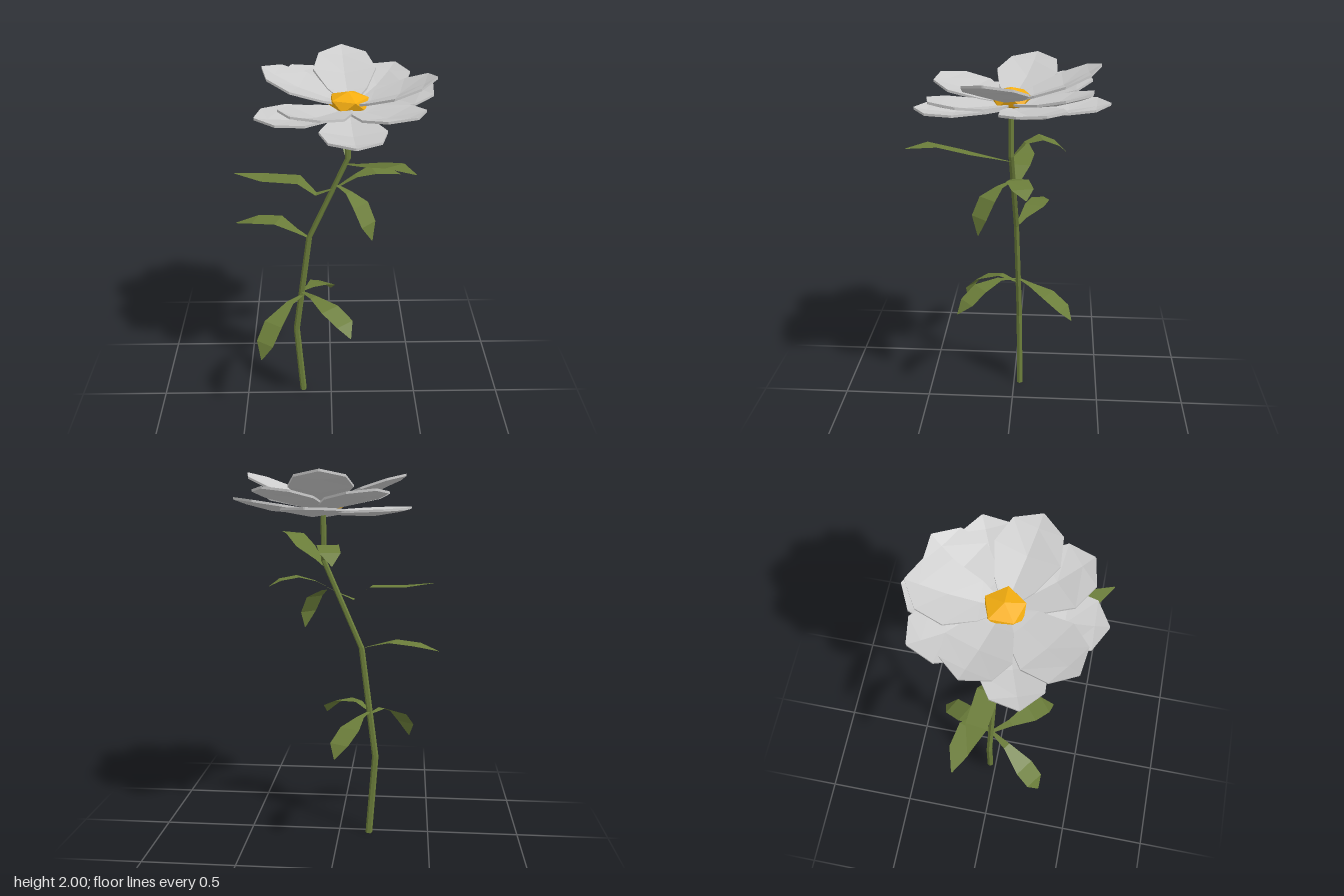
import * as THREE from 'three';

const V = (x, y, z) => new THREE.Vector3(x, y, z);
const UP = V(0, 1, 0);
const mat = (color, extra = {}) =>
  new THREE.MeshStandardMaterial({ color, flatShading: true, ...extra });

// Skin between cross-sections of equal point count; closed ones get end caps
function loft(rings, closed) {
  const pos = [];
  const tri = (...p) => p.forEach((v) => pos.push(v.x, v.y, v.z));
  const n = rings[0].length;
  for (let i = 0; i < rings.length - 1; i++) {
    for (let j = 0; j < (closed ? n : n - 1); j++) {
      const k = (j + 1) % n;
      const a = rings[i][j], b = rings[i][k], c = rings[i + 1][k], e = rings[i + 1][j];
      tri(a, e, c);
      tri(a, c, b);
    }
  }
  if (closed) {
    const first = rings[0], last = rings[rings.length - 1];
    for (let j = 1; j < n - 1; j++) {
      tri(first[0], first[j], first[j + 1]);
      tri(last[0], last[j + 1], last[j]);
    }
  }
  const g = new THREE.BufferGeometry();
  g.setAttribute('position', new THREE.Float32BufferAttribute(pos, 3));
  g.computeVertexNormals();
  return g;
}

// Thin cupped petal from the flower centre to a pointed tip
function petalGeometry(cx, baseY, tip) {
  const base = V(cx, baseY, 0);
  const d = V(tip.x - cx, 0, tip.z).normalize();
  const side = UP.clone().cross(d);
  const rows = [ // share of length, half width, dip of the middle
    [0.04, 0.03, 0.004], [0.25, 0.1, 0.018], [0.58, 0.163, 0.028],
    [0.86, 0.125, 0.014], [1, 0.004, 0],
  ];
  const thick = 0.012;
  const rings = rows.map(([t, w, dip]) => {
    const mid = base.clone().lerp(tip, t);
    const at = (s, y) => mid.clone().addScaledVector(side, s * w).addScaledVector(UP, y);
    return [
      at(-1, 0), at(0, -dip), at(1, 0),
      at(1, -thick), at(0, -dip - thick), at(-1, -thick),
    ];
  });
  return loft(rings, true);
}

// Flat leaf strip along a path: narrow stalk, broad blade, pointed tip
function leafGeometry(path) {
  const pts = path.map((p) => V(...p));
  const dir = pts[pts.length - 1].clone().sub(pts[0]).setY(0).normalize();
  const side = UP.clone().cross(dir);
  const widths = [0.008, 0.022, 0.058, 0.055, 0.003];
  return loft(pts.map((p, i) => [
    p.clone().addScaledVector(side, -widths[i]),
    p.clone().addScaledVector(side, widths[i]),
  ]), false);
}

export function createModel() {
  const model = new THREE.Group();
  const add = (name, geometry, material, parent = model) => {
    const mesh = new THREE.Mesh(geometry, material);
    mesh.name = name;
    parent.add(mesh);
    return mesh;
  };
  const group = (name) => {
    const g = new THREE.Group();
    g.name = name;
    model.add(g);
    return g;
  };
  const green = mat(0x6b7d3a);
  const leafGreen = mat(0x6b7d3a, { side: THREE.DoubleSide });
  const grey = mat(0xcccccc);

  // Bent stem: x, y, z, radius
  const stem = [
    [-0.168, 0, -0.035, 0.019], [-0.2, 0.45, -0.03, 0.018], [-0.12, 1.06, -0.016, 0.016],
    [0.085, 1.53, 0, 0.015], [0.088, 1.82, 0, 0.015],
  ];
  add('stem', loft(stem.map(([x, y, z, r]) =>
    Array.from({ length: 6 }, (_, i) => {
      const a = (i * Math.PI) / 3;
      return V(x + r * Math.cos(a), y, z + r * Math.sin(a));
    })), true), green);

  // Leaves, from the lowest pair upwards
  const leaves = group('leaves');
  [
    [[-0.16, 0.69, -0.02], [-0.23, 0.7, 0.08], [-0.32, 0.64, 0.2], [-0.365, 0.56, 0.27], [-0.385, 0.475, 0.3]],
    [[-0.165, 0.71, -0.02], [-0.1, 0.735, 0.08], [-0.01, 0.72, 0.18], [0.07, 0.67, 0.25], [0.1, 0.61, 0.3]],
    [[-0.165, 0.71, -0.03], [-0.12, 0.695, -0.1], [-0.07, 0.66, -0.2], [-0.02, 0.6, -0.29], [0, 0.535, -0.335]],
    [[-0.12, 1.06, -0.016], [-0.19, 1.085, -0.05], [-0.29, 1.12, -0.11], [-0.42, 1.11, -0.14], [-0.53, 1.08, -0.155]],
    [[0.01, 1.36, 0], [-0.08, 1.325, -0.01], [-0.17, 1.4, -0.03], [-0.36, 1.405, -0.05], [-0.51, 1.425, -0.06]],
    [[0.03, 1.38, 0], [0.09, 1.365, 0.06], [0.15, 1.32, 0.12], [0.19, 1.23, 0.16], [0.21, 1.14, 0.165]],
    [[0.03, 1.37, 0], [0.13, 1.425, -0.02], [0.22, 1.45, -0.04], [0.31, 1.435, -0.07], [0.37, 1.4, -0.09]],
    [[0.085, 1.52, 0], [0.07, 1.6, -0.07], [0.05, 1.625, -0.15], [0.03, 1.59, -0.23], [0.015, 1.53, -0.29]],
    [[0.08, 1.5, 0], [0.12, 1.53, 0.08], [0.21, 1.59, 0.22], [0.29, 1.65, 0.37], [0.38, 1.655, 0.485]],
  ].forEach((path) => add('leaf', leafGeometry(path), leafGreen, leaves));

  // Three whorls of petals: height at the centre, then the tips
  const whorls = [
    ['lowerPetals', 1.79, [
      [0.125, 1.825, -0.49], [0.525, 1.865, -0.19], [0.105, 1.785, 0.485], [-0.375, 1.81, 0.155]]],
    ['middlePetals', 1.81, [
      [-0.195, 1.9, 0.385], [0.39, 1.885, 0.365], [0.345, 1.92, -0.39], [-0.205, 1.91, -0.38]]],
    ['upperPetals', 1.825, [
      [0.06, 2, -0.44], [-0.345, 1.98, -0.115], [0.505, 1.99, 0.1]]],
  ];
  for (const [name, baseY, tips] of whorls) {
    const whorl = group(name);
    tips.forEach((t) => add('petal', petalGeometry(0.09, baseY, V(...t)), grey, whorl));
  }

  // Flattened faceted centre: rings of five, the lower one turned by half a step
  const ring = (r, y, turn) => Array.from({ length: 5 }, (_, i) => {
    const a = ((i + turn) * Math.PI * 2) / 5;
    return V(r * Math.cos(a), y, r * Math.sin(a));
  });
  const centre = add('flowerCentre', loft([
    ring(0.001, -0.055, 0.5), ring(0.1, -0.025, 0.5), ring(0.1, 0.025, 0), ring(0.001, 0.055, 0),
  ], true), mat(0xf5ae10));
  centre.position.set(0.085, 1.832, 0);

  return model;
}
